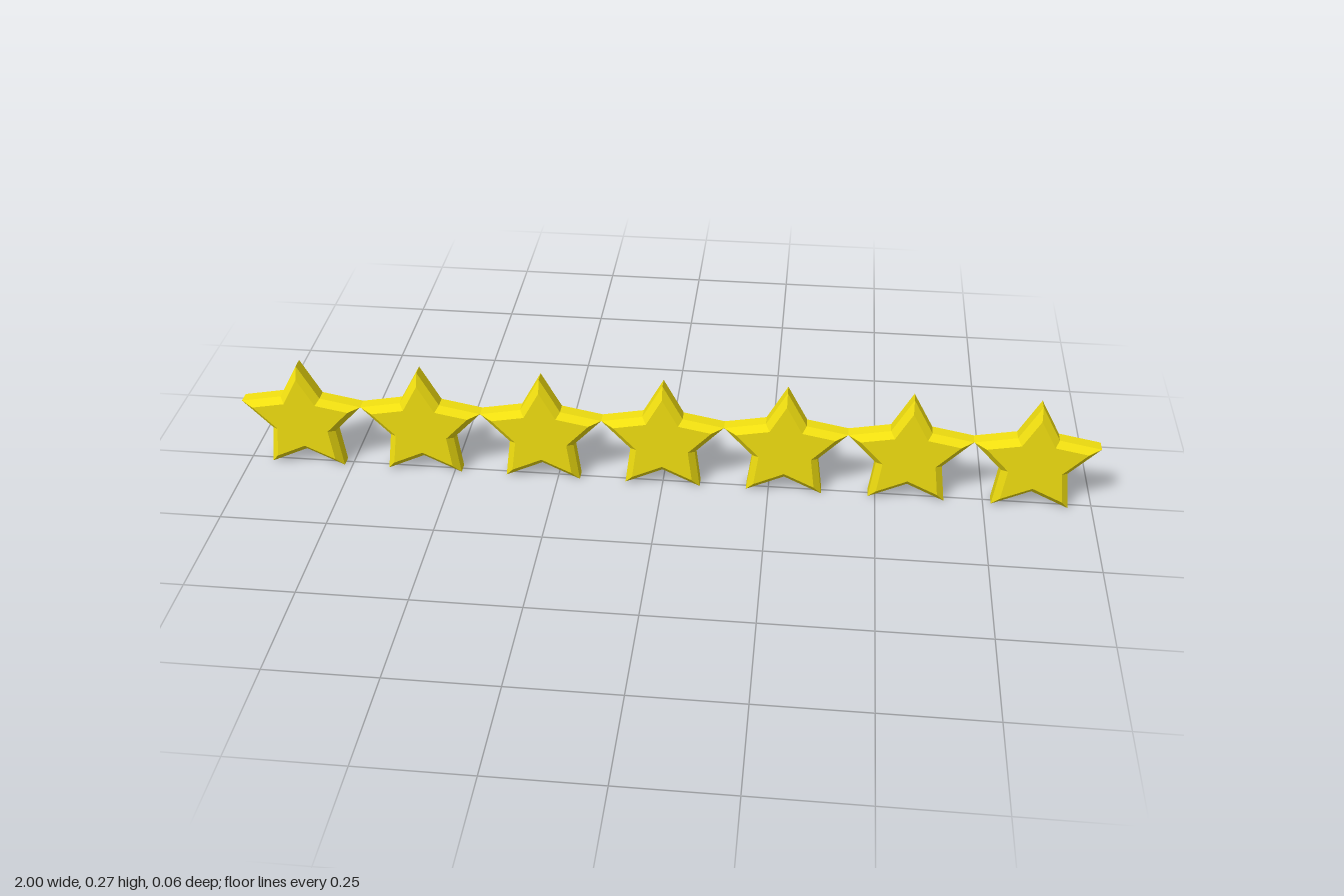
import * as THREE from 'three';

const COUNT = 7;
const PITCH = 2 / COUNT;
const OUTER = PITCH / 2 / Math.cos(Math.PI / 10); // tip radius, neighbouring tips touch
const INNER_RATIO = 0.53; // notch radius / tip radius
const FACE = 0.8; // scale of the flat faces after the bevel
const RIM_Z = 0.0145;
const FACE_Z = 0.028;

// Ten-sided bevelled disc whose odd corners are pulled in to make a star
function starGeometry() {
  const profile = [
    [0, -FACE_Z], [OUTER * FACE, -FACE_Z], [OUTER, -RIM_Z],
    [OUTER, RIM_Z], [OUTER * FACE, FACE_Z], [0, FACE_Z],
  ].map(([r, z]) => new THREE.Vector2(r, z));
  const lathe = new THREE.LatheGeometry(profile, 10);
  const pos = lathe.attributes.position;
  for (let i = 0; i < pos.count; i++) {
    if (Math.floor(i / profile.length) % 2 === 1) {
      pos.setX(i, pos.getX(i) * INNER_RATIO);
      pos.setZ(i, pos.getZ(i) * INNER_RATIO);
    }
  }
  lathe.rotateX(-Math.PI / 2); // stand upright, one tip pointing up
  const geometry = lathe.toNonIndexed();
  geometry.computeVertexNormals();
  return geometry;
}

export function createModel() {
  const group = new THREE.Group();
  group.name = 'starRow';
  const material = new THREE.MeshStandardMaterial({ color: 0xf2e010, flatShading: true });
  const geometry = starGeometry();

  // Row of stars standing on their two lower tips
  for (let i = 0; i < COUNT; i++) {
    const star = new THREE.Mesh(geometry, material);
    star.name = `star${i + 1}`;
    star.position.set((i - (COUNT - 1) / 2) * PITCH, OUTER * Math.cos(Math.PI / 5), 0);
    group.add(star);
  }
  return group;
}
